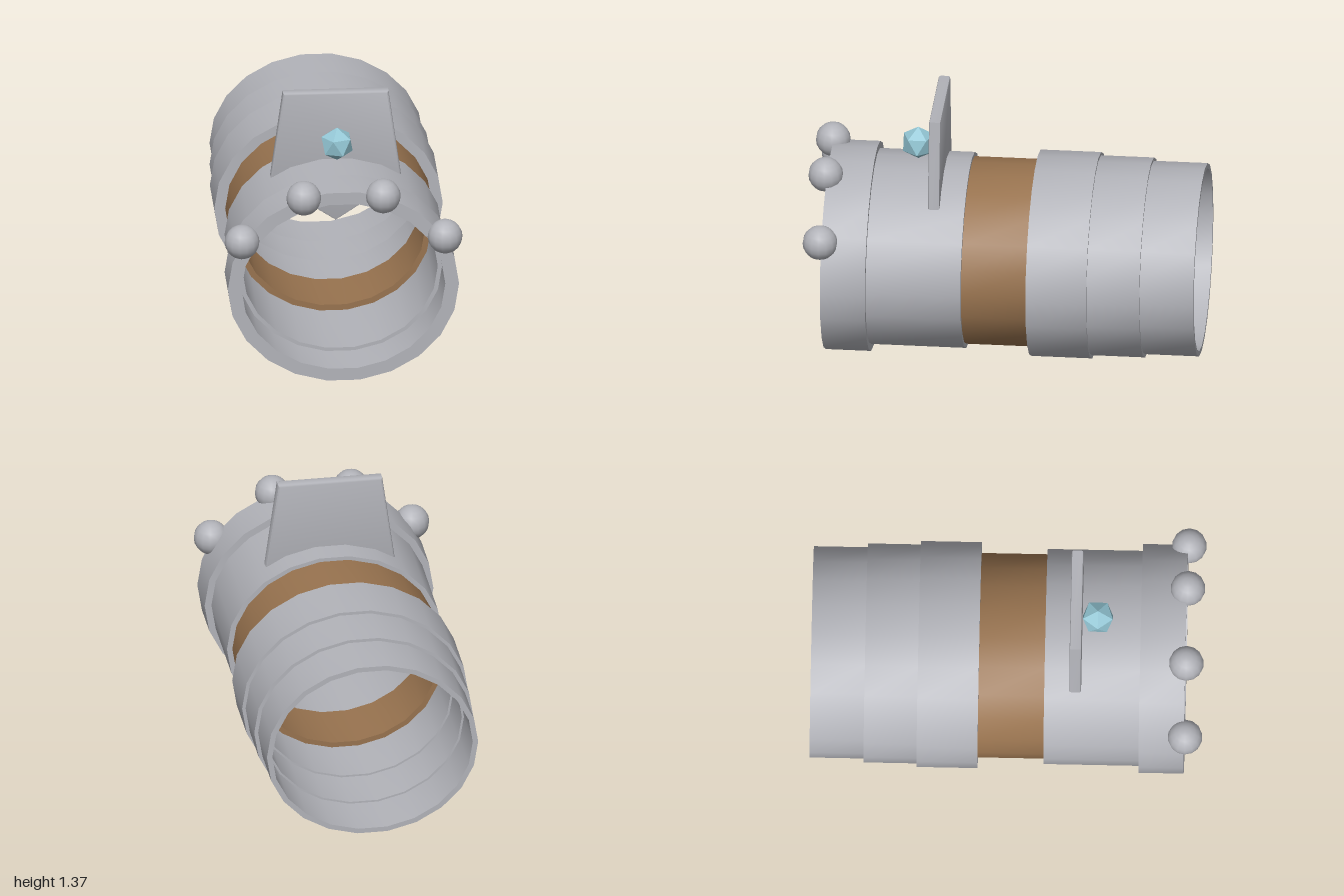
import * as THREE from 'three';
import { toCreasedNormals } from 'three/addons/utils/BufferGeometryUtils.js';

const SIDES = 22;
const CENTRE_Y = 0.5175;

const steel = new THREE.MeshStandardMaterial({ color: 0xb2b3b9 });
steel.name = 'steel';
const leather = new THREE.MeshStandardMaterial({ color: 0x98734f });
leather.name = 'leather';
const crystal = new THREE.MeshStandardMaterial({ color: 0x93c6d4 });
crystal.name = 'crystal';

function ellipse(rx, ry) {
  const points = [];
  for (let i = 0; i < SIDES; i++) {
    const a = (i / SIDES) * Math.PI * 2;
    points.push(new THREE.Vector2(rx * Math.cos(a), ry * Math.sin(a)));
  }
  return points;
}

// Oval tube with a wall, running along z
function band(name, material, zBack, zFront, outer, inner) {
  const shape = new THREE.Shape(ellipse(...outer));
  shape.holes.push(new THREE.Path(ellipse(...inner)));
  const geometry = new THREE.ExtrudeGeometry(shape, { depth: zFront - zBack, bevelEnabled: false });
  const mesh = new THREE.Mesh(toCreasedNormals(geometry, 0.6), material);
  mesh.name = name;
  mesh.position.set(0, CENTRE_Y, zBack);
  return mesh;
}

export function createModel() {
  const group = new THREE.Group();
  group.name = 'bracer';

  // Sleeve bands, front to back
  group.add(
    band('frontCuff', steel, 0.675, 0.905, [0.59, 0.523], [0.52, 0.457]),
    band('mainBand', steel, 0.19, 0.675, [0.555, 0.487], [0.498, 0.439]),
    band('leatherBand', leather, -0.145, 0.19, [0.527, 0.467], [0.468, 0.408]),
    band('rearBandLarge', steel, -0.455, -0.145, [0.583, 0.513], [0.495, 0.435]),
    band('rearBandMiddle', steel, -0.725, -0.455, [0.565, 0.497], [0.506, 0.445]),
    band('rearBandSmall', steel, -1, -0.725, [0.545, 0.481], [0.517, 0.455])
  );

  // Round studs over the front cuff
  const studGeometry = new THREE.SphereGeometry(0.089, 14, 10);
  for (const side of [-1, 1]) {
    for (const [x, y, level] of [[0.203, 1.015, 'upper'], [0.518, 0.783, 'lower']]) {
      const stud = new THREE.Mesh(studGeometry, steel);
      stud.name = `${level}Stud${side > 0 ? 'Left' : 'Right'}`;
      stud.position.set(side * x, y, 0.911);
      group.add(stud);
    }
  }

  // Upright crest plate, its point reaching inside the sleeve
  const bevel = 0.01;
  const outline = [[-0.26, 1.357], [-0.325, 0.886], [0, 0.671], [0.325, 0.886], [0.26, 1.357]];
  const plateShape = new THREE.Shape(outline.map(([x, y]) => new THREE.Vector2(x, y)));
  const plateGeometry = new THREE.ExtrudeGeometry(plateShape, {
    depth: 0.04, bevelEnabled: true, bevelThickness: bevel, bevelSize: bevel, bevelSegments: 2
  });
  const plate = new THREE.Mesh(toCreasedNormals(plateGeometry, 0.5), steel);
  plate.name = 'crestPlate';
  plate.position.z = 0.328;
  group.add(plate);

  // Faceted gem floating before the plate, one corner straight up
  const gemGeometry = new THREE.IcosahedronGeometry(0.089, 0);
  gemGeometry.rotateZ(Math.atan(2 / (1 + Math.sqrt(5))));
  const gem = new THREE.Mesh(gemGeometry, crystal);
  gem.name = 'gem';
  gem.position.set(0, 1.117, 0.457);
  group.add(gem);

  return group;
}
